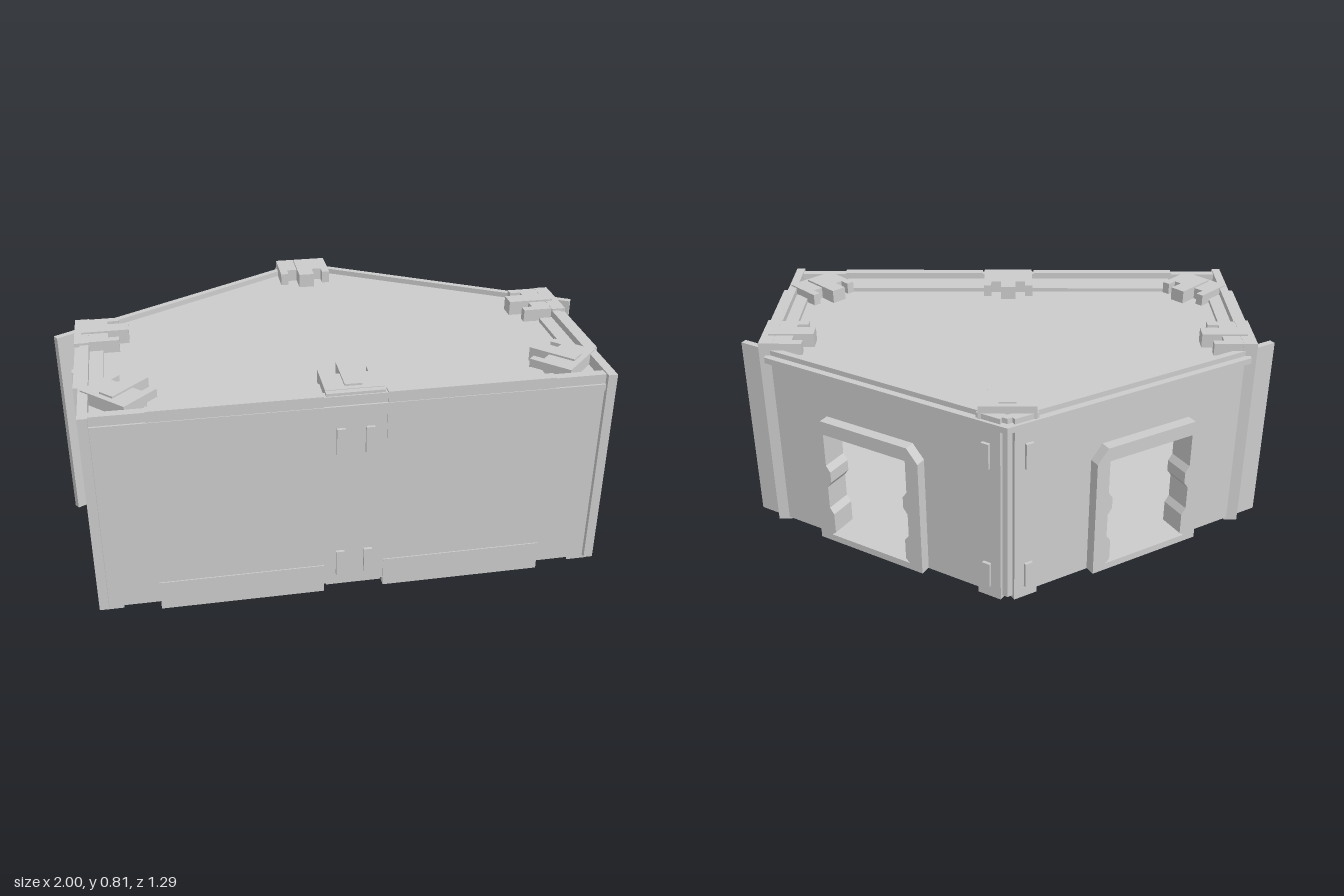
import * as THREE from 'three';

const material = new THREE.MeshStandardMaterial({ color: 0xcccccc, flatShading: true });

function add(parent, name, geometry, x = 0, y = 0, z = 0) {
  const mesh = new THREE.Mesh(geometry, material);
  mesh.name = name;
  mesh.position.set(x, y, z);
  parent.add(mesh);
}

// Box given by its extents on each axis
function block(parent, name, x0, x1, y0, y1, z0, z1) {
  const geometry = new THREE.BoxGeometry(Math.abs(x1 - x0), y1 - y0, z1 - z0);
  add(parent, name, geometry, (x0 + x1) / 2, (y0 + y1) / 2, (z0 + z1) / 2);
}

const shapeOf = (points) => new THREE.Shape(points.map(([x, y]) => new THREE.Vector2(x, y)));
const mirrored = (half) => [...half, ...half.map(([x, y]) => [-x, y]).reverse()];

// Horizontal plate from a plan outline in x and z
function plate(parent, name, outline, y0, y1) {
  const geometry = new THREE.ExtrudeGeometry(shapeOf(outline), { depth: y1 - y0, bevelEnabled: false });
  geometry.rotateX(Math.PI / 2);
  add(parent, name, geometry, 0, y1, 0);
}

// Upright panel from an elevation outline with a hole
function panel(parent, name, outline, z0, z1, hole) {
  const shape = shapeOf(outline);
  shape.holes.push(new THREE.Path(hole.map(([x, y]) => new THREE.Vector2(x, y))));
  const geometry = new THREE.ExtrudeGeometry(shape, { depth: z1 - z0, bevelEnabled: false });
  add(parent, name, geometry, 0, 0, z0);
}

// Notched joining clip, pointing inwards along -z from its origin
function clip(parent, name, x, z, angle, y0, y1) {
  const group = new THREE.Group();
  group.name = name;
  group.position.set(x, 0, z);
  group.rotation.y = angle;
  plate(group, 'clipBody', mirrored([
    [0.1, 0], [0.1, -0.155], [0.07, -0.155], [0.07, -0.115], [0.03, -0.115],
  ]), y0, y1);
  block(group, 'clipTongue', -0.03, 0.03, y0, y1 + 0.007, -0.19, -0.02);
  parent.add(group);
}

// Pair of pegs, one low and one high
function pegs(parent, x0, x1, z0, z1) {
  for (const y of [0.07, 0.57]) block(parent, 'peg', x0, x1, y, y + 0.1, z0, z1);
}

// Angled back wall with a doorway; u runs from the rear corner outwards
function backWall(parent, s) {
  const wall = new THREE.Group();
  wall.name = s > 0 ? 'leftBackWall' : 'rightBackWall';
  wall.position.z = -0.62;
  wall.rotation.y = s * Math.PI * 5 / 6;
  const u = (v) => -s * v;
  const shift = (points) => points.map(([x, y]) => [x + u(0.58), y]);

  const opening = shift(mirrored([
    [0.183, 0.06], [0.165, 0.075], [0.165, 0.16], [0.183, 0.185],
    [0.183, 0.28], [0.165, 0.305], [0.165, 0.35], [0.183, 0.375], [0.183, 0.51],
  ]));
  const frame = shift(mirrored([[0.237, 0.032], [0.237, 0.51], [0.192, 0.565]]));
  panel(wall, 'wallPanel', [[u(0), 0.03], [u(1.155), 0.03], [u(1.155), 0.775], [u(0), 0.775]],
    -0.025, 0, opening);
  panel(wall, 'doorFrame', frame, 0, 0.042, opening);
  panel(wall, 'innerDoorFrame', frame, -0.064, -0.025, opening);

  // Strip and pegs beside the rear corner
  block(wall, 'cornerStrip', u(0.02), u(0.115), 0.02, 0.775, -0.02, 0.014);
  pegs(wall, u(0.06), u(0.09), 0.014, 0.026);
  parent.add(wall);
}

export function createModel() {
  const model = new THREE.Group();
  model.name = 'angledBuilding';

  // Floor and roof plates; the roof edge shows as a thin ledge around the walls
  plate(model, 'roof', [[0.872, 0.634], [0.9, 0.1], [0.9, -0.13], [0, -0.65],
    [-0.9, -0.13], [-0.9, 0.1], [-0.872, 0.634]], 0.732, 0.755);
  plate(model, 'floor', [[0.88, 0.6], [0.88, -0.105], [0, -0.61], [-0.88, -0.105], [-0.88, 0.6]],
    0.037, 0.057);

  // Front wall with its centre panel
  block(model, 'frontWall', -0.88, 0.88, 0.03, 0.79, 0.595, 0.627);
  block(model, 'frontCentrePanel', -0.1, 0.1, 0.02, 0.8, 0.588, 0.622);
  block(model, 'frontLedge', -0.68, 0.68, 0.75, 0.77, 0.49, 0.595);
  clip(model, 'frontClip', 0, 0.6, 0, 0.75, 0.802);
  clip(model, 'rearClip', 0, -0.585, Math.PI, 0.75, 0.802);

  for (const s of [1, -1]) {
    // Upper and lower front panels, with pegs in the centre
    block(model, 'frontUpperPanel', s * 0.108, s * 0.69, 0.6, 0.795, 0.595, 0.631);
    block(model, 'frontLowerPanel', s * 0.108, s * 0.69, 0, 0.112, 0.595, 0.631);
    pegs(model, s * 0.035, s * 0.065, 0.62, 0.638);

    // Side wall, its panels and rear post
    block(model, 'sideWall', s * 0.87, s * 0.903, 0.035, 0.795, -0.1, 0.645);
    block(model, 'sideUpperPanel', s * 0.87, s * 0.92, 0.6, 0.79, 0.1, 0.42);
    block(model, 'sideLowerPanel', s * 0.87, s * 0.92, 0, 0.112, 0.1, 0.42);
    block(model, 'sidePost', s * 0.87, s * 0.922, 0.02, 0.803, -0.112, 0.098);
    block(model, 'sideLedge', s * 0.82, s * 0.875, 0.75, 0.77, 0.1, 0.42);
    block(model, 'pegRail', s * 0.915, s * 0.929, 0.05, 0.68, 0.035, 0.055);
    pegs(model, s * 0.915, s * 0.945, 0.03, 0.06);

    // Clips on the roof and feet under the front corners
    clip(model, 'sideClip', s * 0.917, -0.01, s * Math.PI / 2, 0.75, 0.802);
    clip(model, 'frontCornerClip', s * 0.825, 0.525, s * Math.PI / 4, 0.75, 0.8);
    plate(model, 'cornerBrace', [[s * 0.9, 0.42], [s * 0.9, 0.61], [s * 0.69, 0.61]], 0.022, 0.038);
    plate(model, 'cornerFoot', [[s * 0.9, 0.5], [s * 0.9, 0.605], [s * 0.82, 0.605]], 0.002, 0.03);

    backWall(model, s);
  }
  return model;
}
